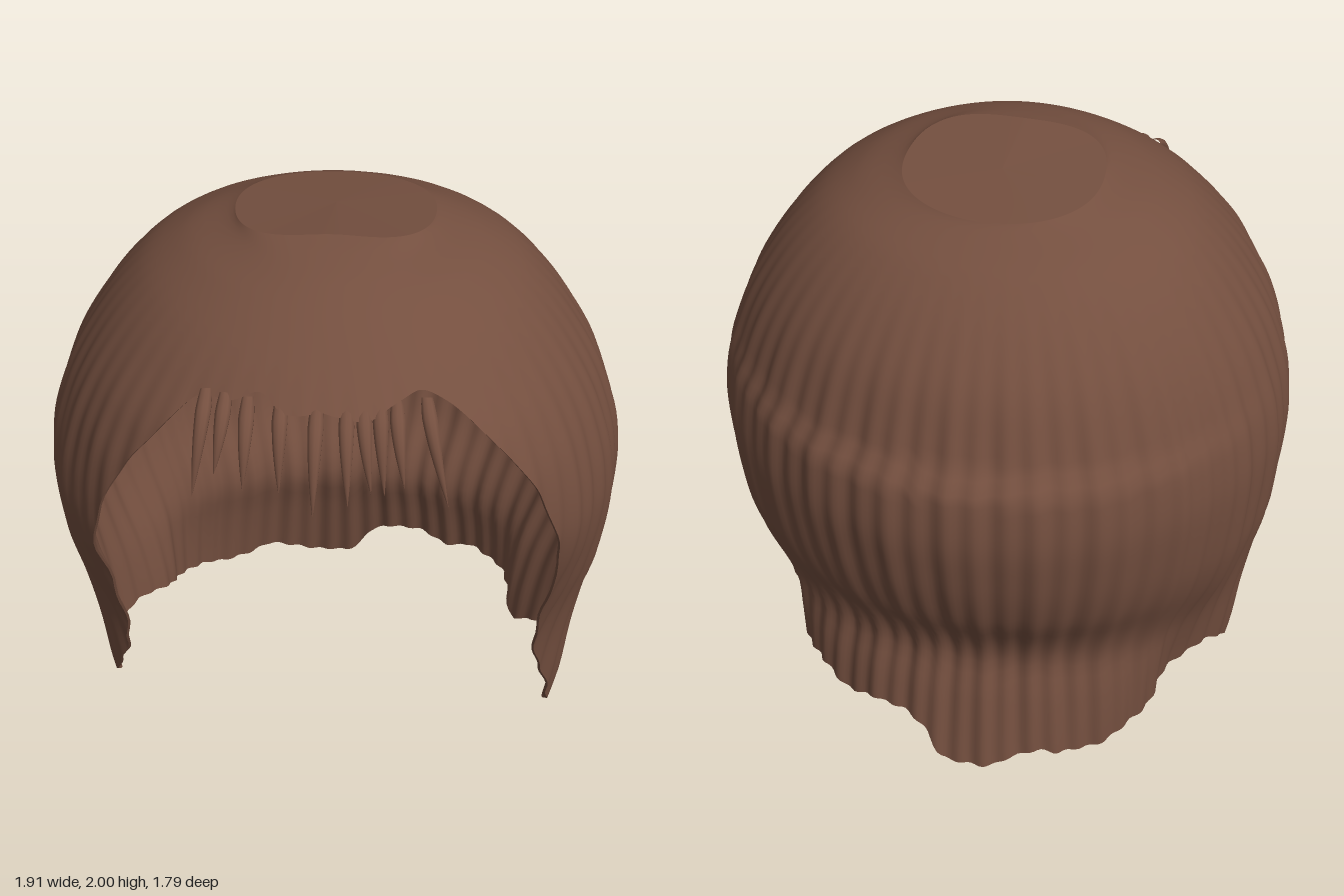
import * as THREE from 'three';

// Radius against height: front, side and back profiles of the hair
const FRONT = [[0, .48], [.2, .5], [.45, .55], [.8, .735], [1, .885], [1.15, .95], [1.35, .96], [1.53, .9], [1.7, .745], [1.82, .6], [1.94, .4], [1.98, .28], [2, .2]];
const SIDE = [[0, .78], [.2, .825], [.4, .85], [.6, .885], [.8, .93], [1.08, .95], [1.2, .94], [1.4, .885], [1.6, .785], [1.8, .63], [1.9, .48], [1.965, .32], [2, .3]];
const BACK = [[0, .77], [.3, .715], [.43, .685], [.5, .7], [.7, .805], [.9, .865], [1.1, .893], [1.27, .88], [1.34, .825], [1.4, .805], [1.55, .75], [1.7, .65], [1.84, .5], [1.93, .33], [2, .3]];

// Hem height against angle in degrees, from the front round the left side
const HEM = [[0, 1.7], [4, 1.69], [10, 1.68], [16, 1.705], [24, 1.73], [30, 1.69], [39, 1.53], [46, 1.35], [51, 1.15], [54.6, 1], [58, .8], [66, .45], [74, .23],
  [82, .03], [85, 0], [88, .03], [97, .18], [101, .17], [106, .14], [113, .09], [120, .17], [139, .18], [148, .14], [157, .17],
  [165, .165], [172, .12], [177, .02], [180, .005], [188, .005], [195, .04], [203, .07], [208, .05], [216, .05], [226, .09], [235, .12],
  [245, .17], [258, .2], [265, .15], [272, .1], [278, .11], [286, .25], [294, .45], [302, .8], [305.4, 1], [309, 1.15], [314, 1.35],
  [321, 1.53], [330, 1.69], [338, 1.7], [344, 1.73], [352, 1.69], [360, 1.7]];

// Smooth interpolation through a short list of points
function sample(pts, x) {
  const n = pts.length;
  if (x <= pts[0][0]) return pts[0][1];
  if (x >= pts[n - 1][0]) return pts[n - 1][1];
  let i = 0;
  while (pts[i + 1][0] < x) i++;
  const secant = (k) => (pts[k + 1][1] - pts[k][1]) / (pts[k + 1][0] - pts[k][0]);
  const slope = (k) => {
    if (k === 0) return secant(0);
    if (k === n - 1) return secant(n - 2);
    const a = secant(k - 1), b = secant(k);
    return a * b <= 0 ? 0 : 2 * a * b / (a + b);
  };
  const h = pts[i + 1][0] - pts[i][0], t = (x - pts[i][0]) / h, t2 = t * t, t3 = t2 * t;
  return (2 * t3 - 3 * t2 + 1) * pts[i][1] + (t3 - 2 * t2 + t) * h * slope(i)
    + (3 * t2 - 2 * t3) * pts[i + 1][1] + (t3 - t2) * h * slope(i + 1);
}

// Closed ring surface: fn(u, v) with u around and v along
function ringSurface(fn, nu, nv, flip = false) {
  const pos = [], index = [];
  for (let j = 0; j <= nv; j++) for (let i = 0; i < nu; i++) pos.push(...fn(i / nu, j / nv));
  for (let j = 0; j < nv; j++) for (let i = 0; i < nu; i++) {
    const i2 = (i + 1) % nu, a = j * nu + i, b = j * nu + i2, c = a + nu, d = b + nu;
    if (flip) index.push(a, d, c, a, b, d);
    else index.push(a, c, d, a, d, b);
  }
  const g = new THREE.BufferGeometry();
  g.setAttribute('position', new THREE.Float32BufferAttribute(pos, 3));
  g.setIndex(index);
  g.computeVertexNormals();
  return g;
}

// Point on the hair at angle u and fraction v from crown to hem
function hairPoint(u, v, thickness) {
  if (v === 0) return [0, 1.965 - thickness, -.065];
  const a = u * Math.PI * 2, deg = u * 360, s = Math.sin(a), c = Math.cos(a);
  const top = 1.965 + .035 * c;
  const t = Math.max(0, (v - .03) / .97);
  const y = top + (sample(HEM, deg) - top) * Math.pow(t, 1.5);
  let r = 1 / Math.hypot(s / sample(SIDE, y), c / sample(c > 0 ? FRONT : BACK, y));
  // wavy strands, stronger towards the hem
  const grow = THREE.MathUtils.smoothstep(2 - y, .1, .8);
  r += grow * (.006 * Math.sin(a * 58) + .004 * Math.sin(a * 23 + 1 + y * 2));
  // pinch behind each side lock
  const side = Math.abs(deg > 180 ? 360 - deg : deg);
  r *= 1 - .11 * Math.exp(-(((side - 113) / 13) ** 2)) * (1 - THREE.MathUtils.smoothstep(y, .15, .65));
  r -= thickness * (1 - .7 * t ** 6);
  return [r * s, y - thickness * (1 - t) ** 2, r * c];
}

// Fringe strands: root x, tip x, tip y, tip z
const STRANDS = [[-.36, -.40, 1.41, .80], [-.30, -.33, 1.50, .80], [-.23, -.24, 1.47, .84], [-.13, -.13, 1.46, .84], [-.02, -.025, 1.41, .89],
  [.07, .08, 1.44, .87], [.12, .15, 1.47, .84], [.17, .19, 1.45, .82], [.22, .25, 1.48, .82], [.31, .385, 1.40, .80]];

function strandGeometry([x0, x1, y1, z1]) {
  const z0 = .72 - .5 * x0 * x0;
  const curve = new THREE.QuadraticBezierCurve3(
    new THREE.Vector3(x0, 1.705, z0 - .02),
    new THREE.Vector3(x0 * .8 + x1 * .2, 1.65, z1 - .02),
    new THREE.Vector3(x1, y1, z1));
  return ringSurface((u, v) => {
    const p = curve.getPoint(v), a = u * Math.PI * 2;
    const r = .026 * Math.sqrt(Math.min(1, .5 + v * 2)) * (1 - v ** 2.2);
    return [p.x + r * Math.sin(a), p.y + .5 * r * Math.cos(a), p.z + .7 * r * Math.cos(a)];
  }, 10, 12);
}

export function createModel() {
  const hairBrown = new THREE.MeshStandardMaterial({ color: 0x744f3f });
  hairBrown.name = 'hairBrown';
  const group = new THREE.Group();
  group.name = 'hair';
  const add = (name, geometry, parent = group) => {
    const mesh = new THREE.Mesh(geometry, hairBrown);
    mesh.name = name;
    parent.add(mesh);
  };

  // Shell: outside, inside and the thin edge joining them
  const thick = .028;
  add('outerHair', ringSurface((u, v) => hairPoint(u, v, 0), 360, 56));
  add('innerHair', ringSurface((u, v) => hairPoint(u, v, thick), 360, 56, true));
  add('hemEdge', ringSurface((u, v) => hairPoint(u, 1, thick * v), 360, 1));

  // Loose strands over the forehead
  const fringe = new THREE.Group();
  fringe.name = 'fringe';
  STRANDS.forEach((s) => add('fringeStrand', strandGeometry(s), fringe));
  group.add(fringe);
  return group;
}
